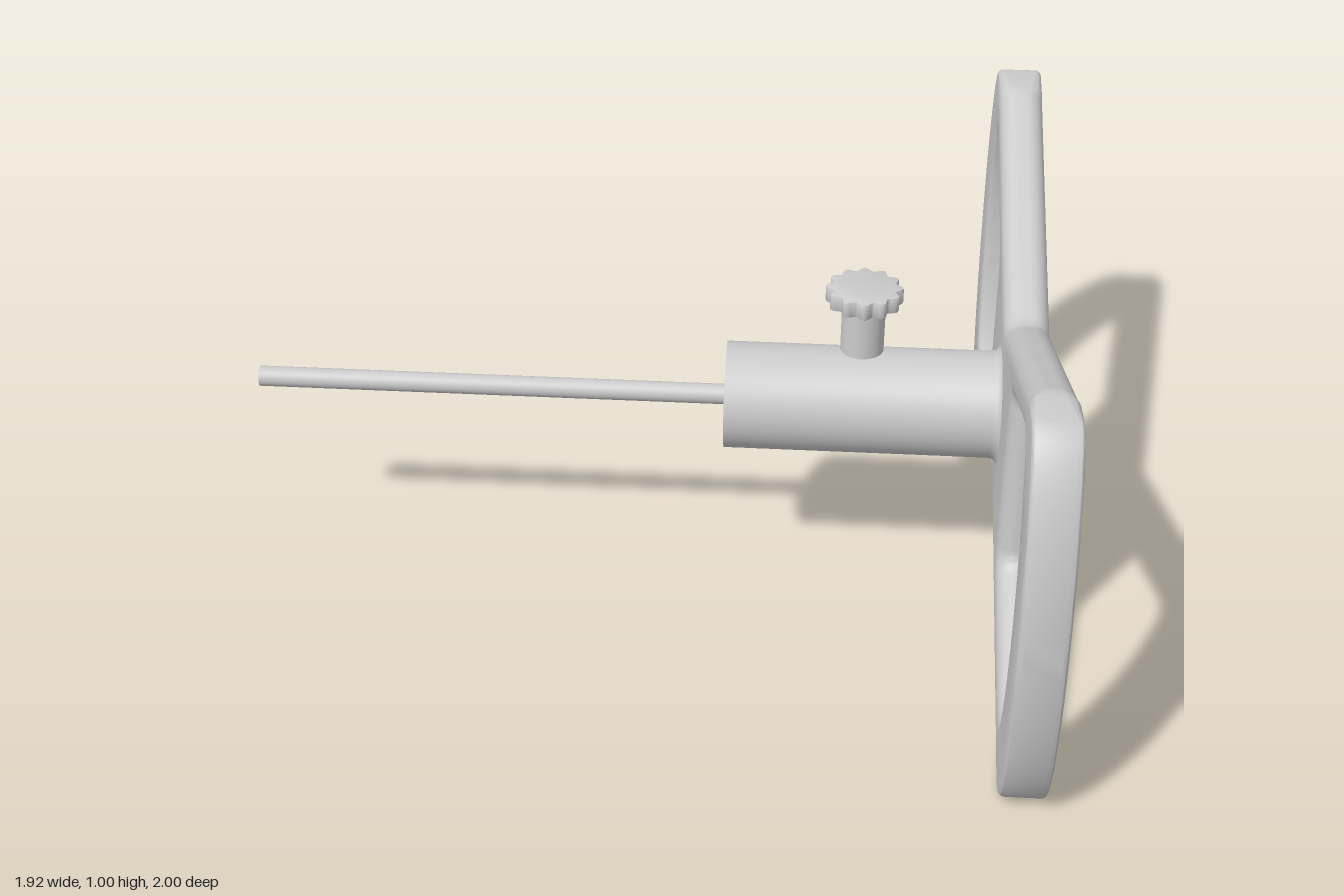
import * as THREE from 'three';
import { mergeGeometries, toCreasedNormals } from 'three/addons/utils/BufferGeometryUtils.js';

const MID = 0.502;
const mat = new THREE.MeshStandardMaterial({ color: 0xcccccc });

function add(parent, name, geo, x = 0, y = 0, z = 0) {
  const mesh = new THREE.Mesh(geo, mat);
  mesh.name = name;
  mesh.position.set(x, y, z);
  parent.add(mesh);
  return mesh;
}

// Mirror an upper path across y = 0; the path starts and ends anywhere
const flipY = pts => pts.map(p => new THREE.Vector2(p.x, -p.y)).reverse();
const flipX = pts => pts.map(p => new THREE.Vector2(-p.x, p.y)).reverse();

function clean(pts) {
  const out = pts.filter((p, i) => p.distanceTo(pts[(i + 1) % pts.length]) > 1e-4);
  return THREE.ShapeUtils.isClockWise(out) ? out.reverse() : out;
}

// Outer bow-tie outline, counter-clockwise
function outerLoop() {
  const s = new THREE.Shape();
  s.moveTo(1, 0);
  s.bezierCurveTo(1, 0.27, 0.92, 0.5, 0.83, 0.5);
  s.lineTo(0.74, 0.5);
  s.quadraticCurveTo(0.715, 0.5, 0.69, 0.489);
  s.lineTo(0.035, 0.243);
  s.quadraticCurveTo(0.015, 0.234, 0, 0.234);
  const q = s.getPoints(16);
  const top = [...q, ...flipX(q)];
  return clean([...top, ...flipY(top)]);
}

// Right-hand opening inside the grip
function holeLoop() {
  const s = new THREE.Shape();
  s.moveTo(0.832, 0);
  s.bezierCurveTo(0.832, 0.14, 0.805, 0.27, 0.765, 0.335);
  s.bezierCurveTo(0.745, 0.37, 0.72, 0.375, 0.685, 0.36);
  s.lineTo(0.365, 0.24);
  s.quadraticCurveTo(0.332, 0.228, 0.332, 0.195);
  const top = s.getPoints(12);
  return clean([...top, ...flipY(top)]);
}

// Edge rounding: generous on the struts, small on the curved grips
const rounding = x => THREE.MathUtils.lerp(0.045, 0.014, THREE.MathUtils.smoothstep(Math.abs(x), 0.7, 0.79));

// Shift a loop into the material; sign is +1 for the outline, -1 for openings
function inset(loop, sign, k) {
  return loop.map((p, i) => {
    const a = loop[(i + loop.length - 1) % loop.length], b = loop[(i + 1) % loop.length];
    const d1 = p.clone().sub(a).normalize(), d2 = b.clone().sub(p).normalize();
    const n = new THREE.Vector2(-d1.y - d2.y, d1.x + d2.x).divideScalar(1 + d1.dot(d2));
    return p.clone().addScaledVector(n, sign * k * rounding(p.x));
  });
}

// Rounded rim swept round one loop
function rim(loop, sign, half) {
  const pos = [], idx = [], n = loop.length, steps = 6, rings = [];
  for (let i = 0; i <= steps; i++) rings.push([i / steps * Math.PI / 2, 1]);
  for (let i = steps; i >= 0; i--) rings.push([i / steps * Math.PI / 2, -1]);
  for (const [a, side] of rings) {
    inset(loop, sign, 1 - Math.sin(a)).forEach((p, i) => {
      pos.push(p.x, p.y, side * (half - rounding(loop[i].x) * (1 - Math.cos(a))));
    });
  }
  for (let r = 0; r < rings.length - 1; r++) {
    for (let i = 0; i < n; i++) {
      const a = r * n + i, b = r * n + (i + 1) % n, c = a + n, d = b + n;
      if (sign > 0) idx.push(a, c, b, b, c, d);
      else idx.push(a, b, c, b, d, c);
    }
  }
  const g = new THREE.BufferGeometry();
  g.setAttribute('position', new THREE.Float32BufferAttribute(pos, 3));
  g.setIndex(idx);
  return g.toNonIndexed();
}

function handleGeometry(half) {
  const outer = outerLoop(), right = holeLoop(), holes = [right, flipX(right)];
  const face = new THREE.Shape(inset(outer, 1, 1));
  face.holes = holes.map(h => new THREE.Path(inset(h, -1, 1)));
  const front = new THREE.ShapeGeometry(face).toNonIndexed();
  front.deleteAttribute('uv');
  front.deleteAttribute('normal');
  const back = front.clone().rotateY(Math.PI).translate(0, 0, -half);
  front.translate(0, 0, half);
  const parts = [front, back, rim(outer, 1, half), ...holes.map(h => rim(h, -1, half))];
  return toCreasedNormals(mergeGeometries(parts), 0.6).rotateY(Math.PI / 2);
}

export function createModel() {
  const model = new THREE.Group();
  model.name = 'handleTool';

  // Bow-tie handle across the end
  add(model, 'bowTieHandle', handleGeometry(0.055), 0.905, MID, 0);

  // Barrel with a small flare where it meets the handle
  const profile = [[0, 0.19], [0.13, 0.19], [0.13, 0.83], [0.132, 0.84], [0.137, 0.847], [0.147, 0.852]];
  const barrel = new THREE.LatheGeometry(profile.map(p => new THREE.Vector2(...p)), 64);
  add(model, 'barrel', toCreasedNormals(barrel.rotateZ(-Math.PI / 2), 0.7), 0, MID + 0.003, 0);

  // Long thin rod
  const rod = new THREE.CylinderGeometry(0.025, 0.025, 1.2, 32).rotateZ(Math.PI / 2);
  add(model, 'rod', rod, -0.36, MID + 0.002, 0);

  // Clamping screw on top of the barrel
  const screw = new THREE.Group();
  screw.name = 'clampScrew';
  screw.position.x = 0.515;
  model.add(screw);
  add(screw, 'screwShank', new THREE.CylinderGeometry(0.025, 0.025, 0.08, 24), 0, 0.63, 0);
  add(screw, 'screwCollar', new THREE.CylinderGeometry(0.052, 0.052, 0.135, 40), 0, 0.7175, 0);

  // Scalloped knob
  const pts = [];
  for (let i = 0; i < 144; i++) {
    const a = i / 144 * Math.PI * 2, r = 0.083 + 0.007 * Math.cos(12 * a);
    pts.push(new THREE.Vector2(r * Math.cos(a), r * Math.sin(a)));
  }
  const knob = new THREE.ExtrudeGeometry(new THREE.Shape(pts), {
    depth: 0.034, bevelEnabled: true, bevelThickness: 0.004, bevelSize: 0.004, bevelOffset: -0.002, bevelSegments: 2,
  });
  add(screw, 'screwKnob', toCreasedNormals(knob.rotateX(-Math.PI / 2), 0.6), 0, 0.783, 0);

  return model;
}
